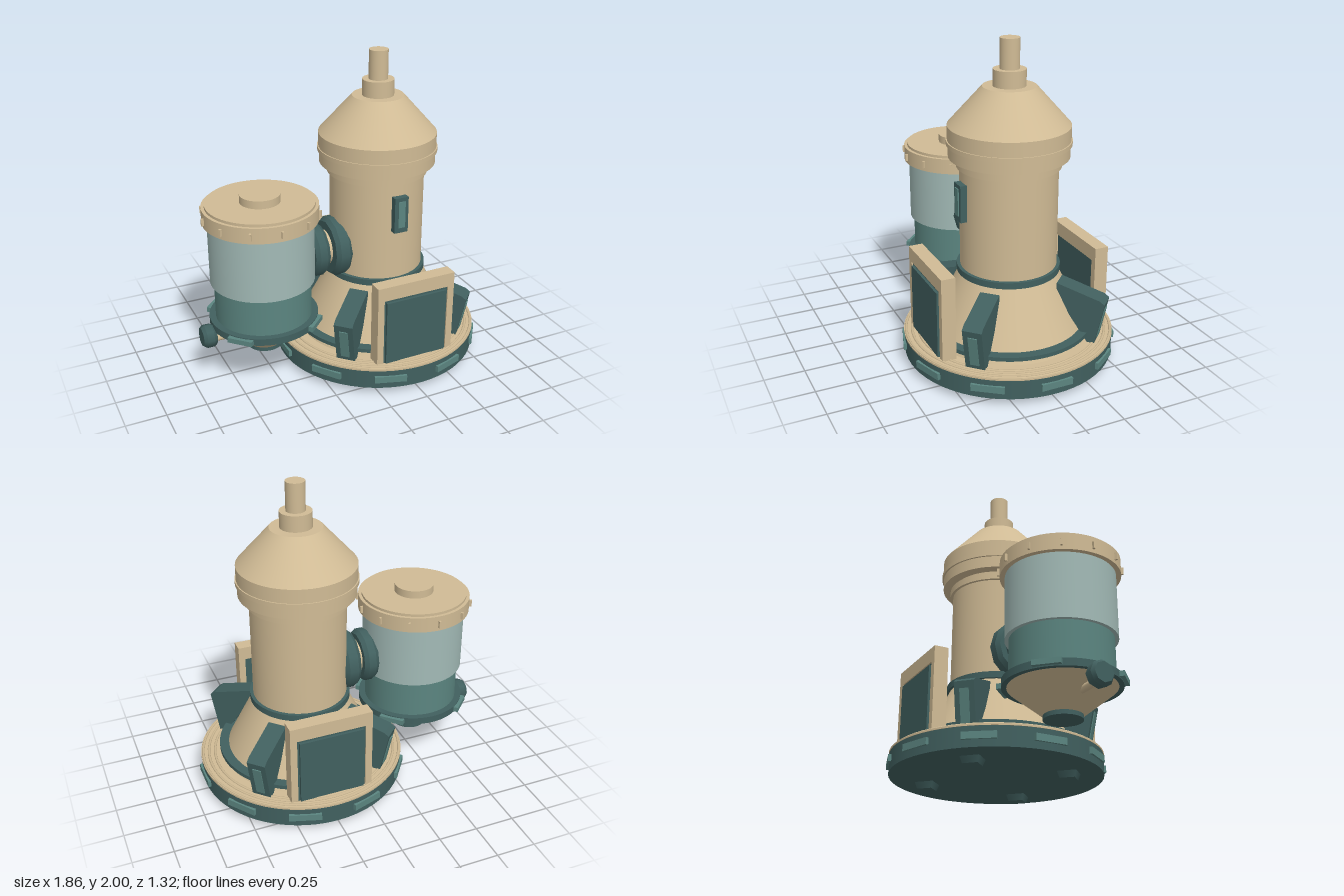
import * as THREE from 'three';

export function createModel() {
  const paint = (name, color) => {
    const m = new THREE.MeshStandardMaterial({ color });
    m.name = name;
    return m;
  };
  const tan = paint('sand', 0xd0bb95);
  const dark = paint('dark teal', 0x41605f);
  const mid = paint('mid teal', 0x5b8580);
  const pale = paint('pale teal', 0xa2bab6);

  const model = new THREE.Group();
  model.name = 'mill';
  const section = (name, x) => {
    const g = new THREE.Group();
    g.name = name;
    g.position.x = x;
    model.add(g);
    return g;
  };
  const add = (parent, name, geo, mat, x = 0, y = 0, z = 0) => {
    const m = new THREE.Mesh(geo, mat);
    m.name = name;
    m.position.set(x, y, z);
    parent.add(m);
    return m;
  };
  const box = (parent, name, mat, w, h, d, x, y, z) =>
    add(parent, name, new THREE.BoxGeometry(w, h, d), mat, x, y, z);
  // upright round slice between two heights
  const round = (parent, name, mat, y0, y1, rBottom, rTop = rBottom) =>
    add(parent, name, new THREE.CylinderGeometry(rTop, rBottom, y1 - y0, 64), mat, 0, (y0 + y1) / 2, 0);
  // slice lying along x between two positions
  const lying = (parent, name, mat, x0, x1, y, rStart, rEnd = rStart, sides = 32) => {
    const geo = new THREE.CylinderGeometry(rEnd, rStart, x1 - x0, sides);
    geo.rotateZ(-Math.PI / 2);
    return add(parent, name, geo, mat, (x0 + x1) / 2, y, 0);
  };
  // plates spread round a rim, facing outward
  const rimPlates = (parent, name, mat, n, start, r, y, w, h, d) => {
    for (let i = 0; i < n; i++) {
      const a = start + (i / n) * Math.PI * 2;
      box(parent, name, mat, w, h, d, Math.sin(a) * r, y, Math.cos(a) * r).rotation.y = a;
    }
  };

  // Base turntable
  const base = section('base', 0.265);
  round(base, 'baseDrum', dark, 0.04, 0.162, 0.652);
  round(base, 'baseTop', tan, 0.162, 0.173, 0.655);
  for (const r of [0.565, 0.605, 0.642]) {
    const ridge = new THREE.TorusGeometry(r, 0.009, 6, 64);
    ridge.rotateX(Math.PI / 2);
    add(base, 'baseRidge', ridge, tan, 0, 0.172, 0);
  }
  rimPlates(base, 'rimPlate', mid, 10, Math.PI / 10, 0.648, 0.105, 0.2, 0.042, 0.03);

  // Column
  const column = section('column', 0.265);
  round(column, 'columnSkirt', tan, 0.17, 0.575, 0.505, 0.3);
  round(column, 'skirtRing', dark, 0.213, 0.238, 0.53);
  round(column, 'neckRing', dark, 0.572, 0.612, 0.318);
  round(column, 'columnBody', tan, 0.575, 1.31, 0.297);
  round(column, 'upperBand', tan, 1.24, 1.285, 0.315);
  round(column, 'headLower', tan, 1.3, 1.4, 0.362);
  round(column, 'headBand', tan, 1.375, 1.402, 0.373);
  round(column, 'headUpper', tan, 1.4, 1.49, 0.366);
  round(column, 'headCone', tan, 1.49, 1.72, 0.366, 0.16);
  round(column, 'chimneyCollar', tan, 1.72, 1.82, 0.098);
  round(column, 'chimney', tan, 1.82, 2.0, 0.059);
  box(column, 'hatch', dark, 0.092, 0.23, 0.07, 0, 1.05, 0.3);
  box(column, 'hatchPlate', mid, 0.046, 0.17, 0.008, 0, 1.055, 0.338);

  // Four diagonal braces with feet beneath
  const braceShape = new THREE.Shape([
    [0.53, 0.175], [0.575, 0.175], [0.63, 0.44], [0.6, 0.462], [0.33, 0.54], [0.33, 0.48], [0.4, 0.36],
  ].map(([r, y]) => new THREE.Vector2(r, y)));
  const braceGeo = new THREE.ExtrudeGeometry(braceShape, { depth: 0.12, bevelEnabled: false });
  braceGeo.translate(0, 0, -0.06);
  for (let i = 0; i < 4; i++) {
    const brace = new THREE.Group();
    brace.name = 'brace';
    brace.rotation.y = Math.PI / 4 + (i * Math.PI) / 2;
    column.add(brace);
    add(brace, 'braceBody', braceGeo, dark);
    box(brace, 'braceStrip', mid, 0.008, 0.2, 0.055, 0.603, 0.3, 0).rotation.z = -0.205;
    const foot = new THREE.CylinderGeometry(0.085, 0.065, 0.045, 4);
    foot.rotateY(Math.PI / 4);
    add(brace, 'foot', foot, dark, 0.45, 0.0225, 0);
  }

  // Front and back gates: frame open at the bottom, filled with a panel
  for (const side of [1, -1]) {
    const gate = section(side > 0 ? 'frontGate' : 'backGate', 0.265);
    gate.rotation.y = side > 0 ? 0 : Math.PI;
    const z = 0.508;
    for (const s of [1, -1]) box(gate, 'gatePost', tan, 0.043, 0.53, 0.088, s * 0.241, 0.44, z);
    box(gate, 'gateLintel', tan, 0.525, 0.09, 0.088, 0, 0.66, z);
    box(gate, 'gatePanel', dark, 0.44, 0.445, 0.07, 0, 0.395, z);
    box(gate, 'gateDoor', dark, 0.41, 0.42, 0.02, 0, 0.388, 0.55);
  }

  // Side tank
  const tank = section('tank', -0.52);
  round(tank, 'tankFoot', dark, 0.175, 0.205, 0.113);
  round(tank, 'tankCone', tan, 0.2, 0.362, 0.112, 0.315);
  round(tank, 'tankFlange', dark, 0.36, 0.405, 0.342);
  round(tank, 'tankLower', mid, 0.4, 0.645, 0.302);
  round(tank, 'tankUpper', pale, 0.645, 1.05, 0.325);
  round(tank, 'lid', tan, 1.045, 1.143, 0.355);
  round(tank, 'lidTop', tan, 1.143, 1.16, 0.335);
  round(tank, 'lidCap', tan, 1.16, 1.21, 0.124);
  rimPlates(tank, 'flangePlate', mid, 4, Math.PI / 4, 0.348, 0.383, 0.16, 0.032, 0.03);
  rimPlates(tank, 'lidLug', tan, 12, 0, 0.356, 1.09, 0.012, 0.045, 0.03);

  // Drain valve on the tank
  const valve = section('valve', 0);
  lying(valve, 'valvePipe', tan, -0.86, -0.68, 0.29, 0.022);
  lying(valve, 'valveBody', dark, -0.915, -0.87, 0.317, 0.075, 0.075, 8);
  lying(valve, 'valveCap', dark, -0.935, -0.915, 0.317, 0.06, 0.075, 8);
  lying(valve, 'valveBack', dark, -0.87, -0.848, 0.317, 0.075, 0.06, 8);

  // Duct joining tank and column
  const duct = section('duct', 0);
  const y = 0.765;
  lying(duct, 'ductPipe', tan, -0.23, 0.02, y, 0.11);
  for (const [x0, x1, r] of [[-0.22, -0.122, 0.17], [-0.09, 0.02, 0.192]]) {
    const bevel = 0.025;
    lying(duct, 'ductFlangeStart', dark, x0, x0 + bevel, y, r * 0.88, r, 12);
    lying(duct, 'ductFlange', dark, x0 + bevel, x1 - bevel, y, r, r, 12);
    lying(duct, 'ductFlangeEnd', dark, x1 - bevel, x1, y, r, r * 0.88, 12);
  }
  return model;
}
